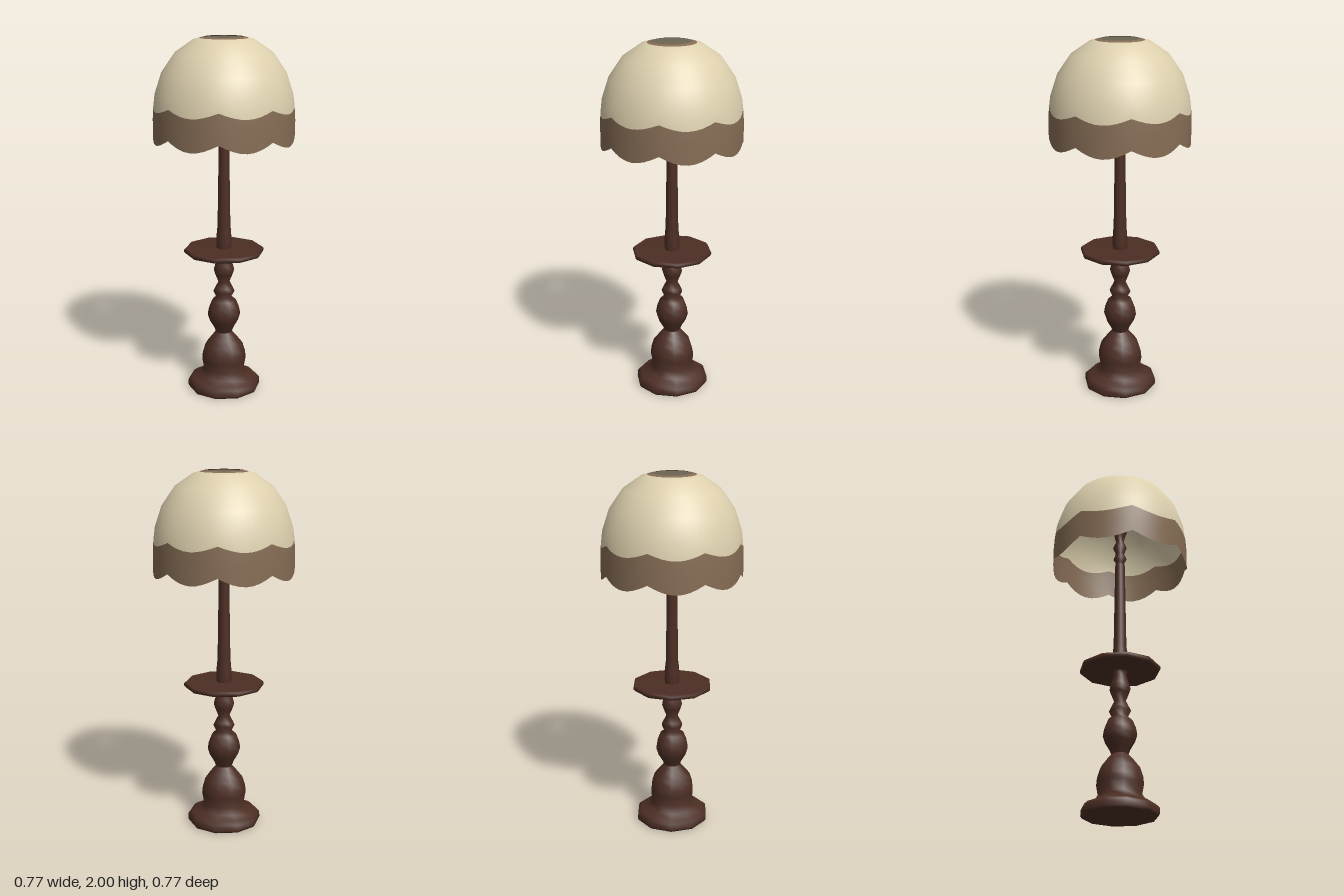
import * as THREE from 'three';

const TAU = Math.PI * 2;
const wood = new THREE.MeshStandardMaterial({ name: 'dark wood', color: 0x4c2e24 });
const cream = new THREE.MeshStandardMaterial({ name: 'cream fabric', color: 0xddd0ae, side: THREE.DoubleSide });
const trim = new THREE.MeshStandardMaterial({ name: 'brown trim', color: 0x866d55, side: THREE.DoubleSide });

// Ten-sided turned part from [radius, height] pairs, bottom to top
function turned(name, profile) {
  const points = profile.map(([r, y]) => new THREE.Vector2(r, y));
  const mesh = new THREE.Mesh(new THREE.LatheGeometry(points, 10, Math.PI / 2), wood);
  mesh.name = name;
  return mesh;
}

// Scallop shape: 1 at the eight cusps, 0 at the bottom of each lobe
const scallop = (a) => 1 - Math.abs(Math.sin(4 * a));

// Shade outline as [radius, height], bottom to top
const OUTLINE = [
  [0.384, 1.4], [0.385, 1.56], [0.381, 1.63], [0.372, 1.7], [0.335, 1.812],
  [0.262, 1.918], [0.165, 1.985], [0.105, 2.0],
];
function radiusAt(y) {
  for (let i = 1; i < OUTLINE.length; i++) {
    const [r0, y0] = OUTLINE[i - 1];
    const [r1, y1] = OUTLINE[i];
    if (y <= y1) return THREE.MathUtils.lerp(r0, r1, (y - y0) / (y1 - y0));
  }
  return OUTLINE[OUTLINE.length - 1][0];
}

// Closed skin through rows of rings; each row gives its height for an angle
function shadeSkin(name, rows, material) {
  const n = 64, positions = [], index = [];
  rows.forEach((heightAt, row) => {
    for (let i = 0; i < n; i++) {
      const a = (i / n) * TAU;
      const y = heightAt(a);
      const r = radiusAt(y);
      positions.push(r * Math.sin(a), y, r * Math.cos(a));
      if (row === 0) continue;
      const j = (i + 1) % n, lo = (row - 1) * n, hi = row * n;
      index.push(lo + i, lo + j, hi + j, lo + i, hi + j, hi + i);
    }
  });
  const geometry = new THREE.BufferGeometry();
  geometry.setAttribute('position', new THREE.Float32BufferAttribute(positions, 3));
  geometry.setIndex(index);
  geometry.computeVertexNormals();
  const mesh = new THREE.Mesh(geometry, material);
  mesh.name = name;
  return mesh;
}

export function createModel() {
  const lamp = new THREE.Group();
  lamp.name = 'tableLamp';

  // Turned base and lower baluster
  lamp.add(turned('base', [
    [0, 0], [0.2, 0], [0.207, 0.012], [0.205, 0.045], [0.185, 0.062], [0.142, 0.08],
    [0.116, 0.115], [0.126, 0.17], [0.122, 0.21], [0.107, 0.26], [0.076, 0.3], [0.046, 0.335],
  ]));
  lamp.add(turned('baluster', [
    [0.046, 0.335], [0.056, 0.36], [0.08, 0.4], [0.093, 0.44], [0.086, 0.48], [0.068, 0.525],
    [0.044, 0.545], [0.06, 0.578], [0.05, 0.6], [0.032, 0.635], [0.05, 0.68], [0.058, 0.705],
    [0.05, 0.735], [0.035, 0.785], [0.045, 0.81],
  ]));

  // Round tray halfway up
  lamp.add(turned('tray', [
    [0, 0.805], [0.215, 0.805], [0.223, 0.813], [0.223, 0.827], [0.215, 0.835], [0, 0.835],
  ]));

  // Tapered post with beads and a flared head inside the shade
  lamp.add(turned('post', [
    [0.04, 0.83], [0.043, 0.86], [0.04, 0.93], [0.036, 0.96], [0.028, 1.47],
    [0.024, 1.49], [0.038, 1.515], [0.024, 1.55], [0.04, 1.59], [0.022, 1.63],
    [0.035, 1.68], [0.055, 1.73], [0.05, 1.75], [0.02, 1.765], [0, 1.765],
  ]));
  const candle = new THREE.Mesh(new THREE.CylinderGeometry(0.018, 0.018, 0.006, 10), cream);
  candle.name = 'headInset';
  candle.position.y = 1.766;
  lamp.add(candle);

  // Domed shade with scalloped hem and a trimmed opening on top
  const bandTop = (a) => 1.612 + 0.034 * scallop(a);
  const hem = (a) => 1.437 + 0.046 * scallop(a);
  const flat = (y) => () => y;
  const shade = new THREE.Group();
  shade.name = 'shade';
  shade.add(
    shadeSkin('scallopedBand', [hem, flat(1.56), bandTop], trim),
    shadeSkin('dome', [bandTop, ...[1.7, 1.812, 1.918, 1.985, 1.9935].map(flat)], cream),
    shadeSkin('topTrim', [1.9935, 2.0].map(flat), trim),
  );
  lamp.add(shade);
  return lamp;
}
